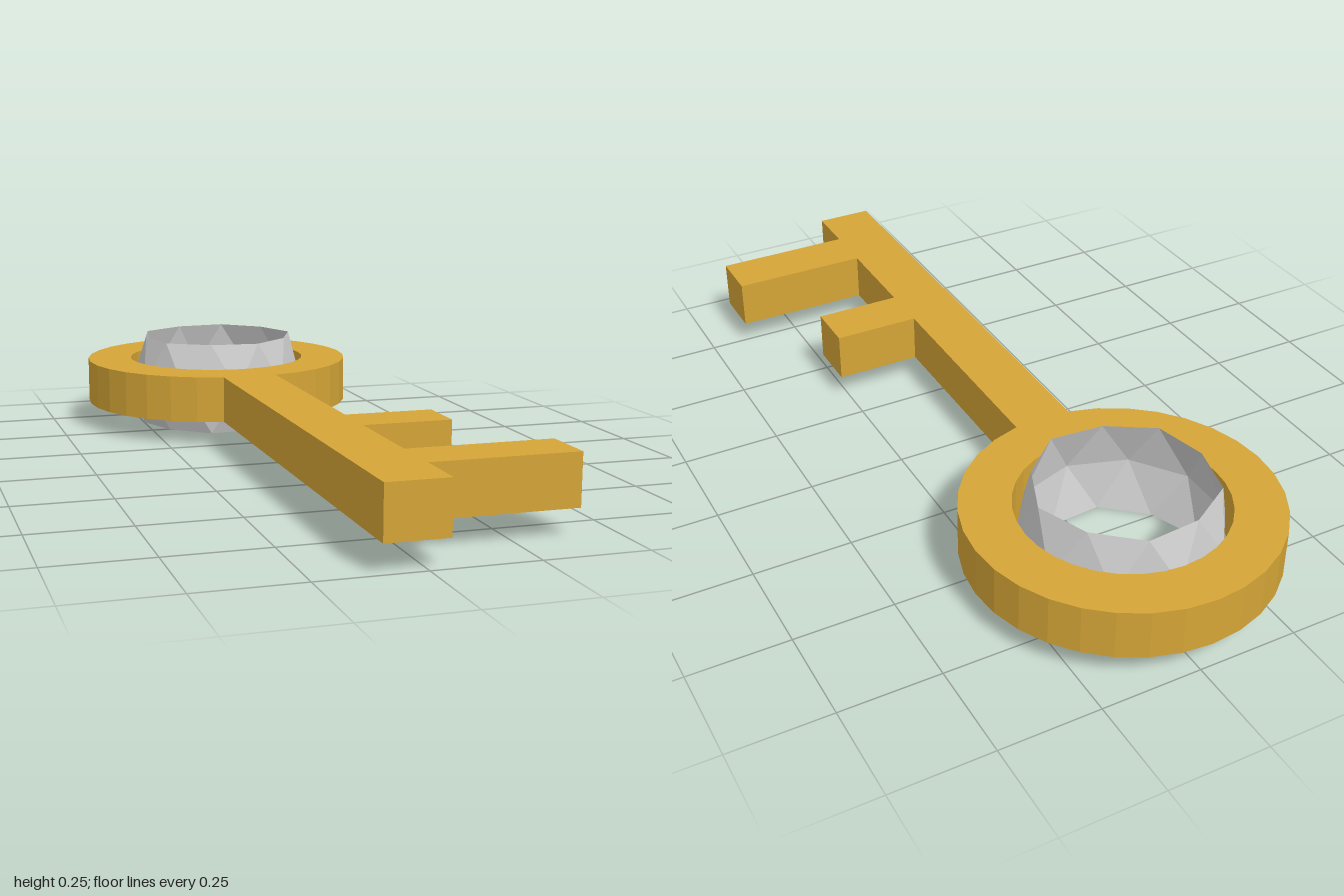
import * as THREE from 'three';

const CX = -0.027, CZ = -0.62;   // centre of the bow
const OUTER = 0.38, INNER = 0.255, SIDES = 32;

// Key body: 32-sided bow, shaft and two teeth as one outline with a round hole
function createKeyBody(material) {
  const ringPoint = (r, k) => {
    const a = -Math.PI / 2 + (k / SIDES) * Math.PI * 2;
    return new THREE.Vector2(CX + r * Math.cos(a), -CZ + r * Math.sin(a));
  };
  const outline = [];
  for (let k = 1; k < SIDES; k++) outline.push(ringPoint(OUTER, k));
  const left = ringPoint(OUTER, -1).x, right = ringPoint(OUTER, 1).x;

  // shaft end, then the teeth going back up the +x side
  outline.push(new THREE.Vector2(left, -1), new THREE.Vector2(right, -1));
  for (const [tip, near, far] of [[0.405, 0.865, 0.73], [0.27, 0.47, 0.34]]) {
    outline.push(
      new THREE.Vector2(right, -near), new THREE.Vector2(tip, -near),
      new THREE.Vector2(tip, -far), new THREE.Vector2(right, -far));
  }

  const shape = new THREE.Shape(outline);
  const hole = [];
  for (let k = 0; k < SIDES; k++) hole.push(ringPoint(INNER, -k));
  shape.holes.push(new THREE.Path(hole));

  const geometry = new THREE.ExtrudeGeometry(shape, { depth: 0.125, bevelEnabled: false });
  geometry.rotateX(-Math.PI / 2);
  const mesh = new THREE.Mesh(geometry, material);
  mesh.name = 'keyBody';
  mesh.position.y = 0.065;
  return mesh;
}

// Gem: open faceted band, ten points per ring, the rims turned half a step from the girdle
function createGem(material) {
  const R = 0.25, H = 0.127, step = Math.PI / 5;
  const point = (r, y, a) => [r * Math.cos(a), y, r * Math.sin(a)];
  const girdle = k => point(R, 0, (k + 0.5) * step);
  const rim = (k, s) => {
    const wide = (k % 2 === 0) === (s > 0);
    return point(R * (wide ? 0.895 : 0.851), s * H, k * step);
  };
  const positions = [];
  for (const s of [1, -1]) {
    for (let k = 0; k < 10; k++) {
      const a = rim(k, s), b = rim(k + 1, s), g = girdle(k), h = girdle(k + 1);
      const corners = s > 0 ? [a, b, g, b, h, g] : [a, g, b, b, g, h];
      positions.push(...corners.flat());
    }
  }
  const geometry = new THREE.BufferGeometry();
  geometry.setAttribute('position', new THREE.Float32BufferAttribute(positions, 3));
  geometry.computeVertexNormals();
  const mesh = new THREE.Mesh(geometry, material);
  mesh.name = 'gem';
  mesh.position.set(CX, H, CZ);
  return mesh;
}

export function createModel() {
  const group = new THREE.Group();
  group.name = 'key';
  const gold = new THREE.MeshStandardMaterial({ color: 0xd4a537, flatShading: true });
  const grey = new THREE.MeshStandardMaterial({
    color: 0xcccccc, flatShading: true, side: THREE.DoubleSide });
  group.add(createKeyBody(gold), createGem(grey));
  return group;
}
